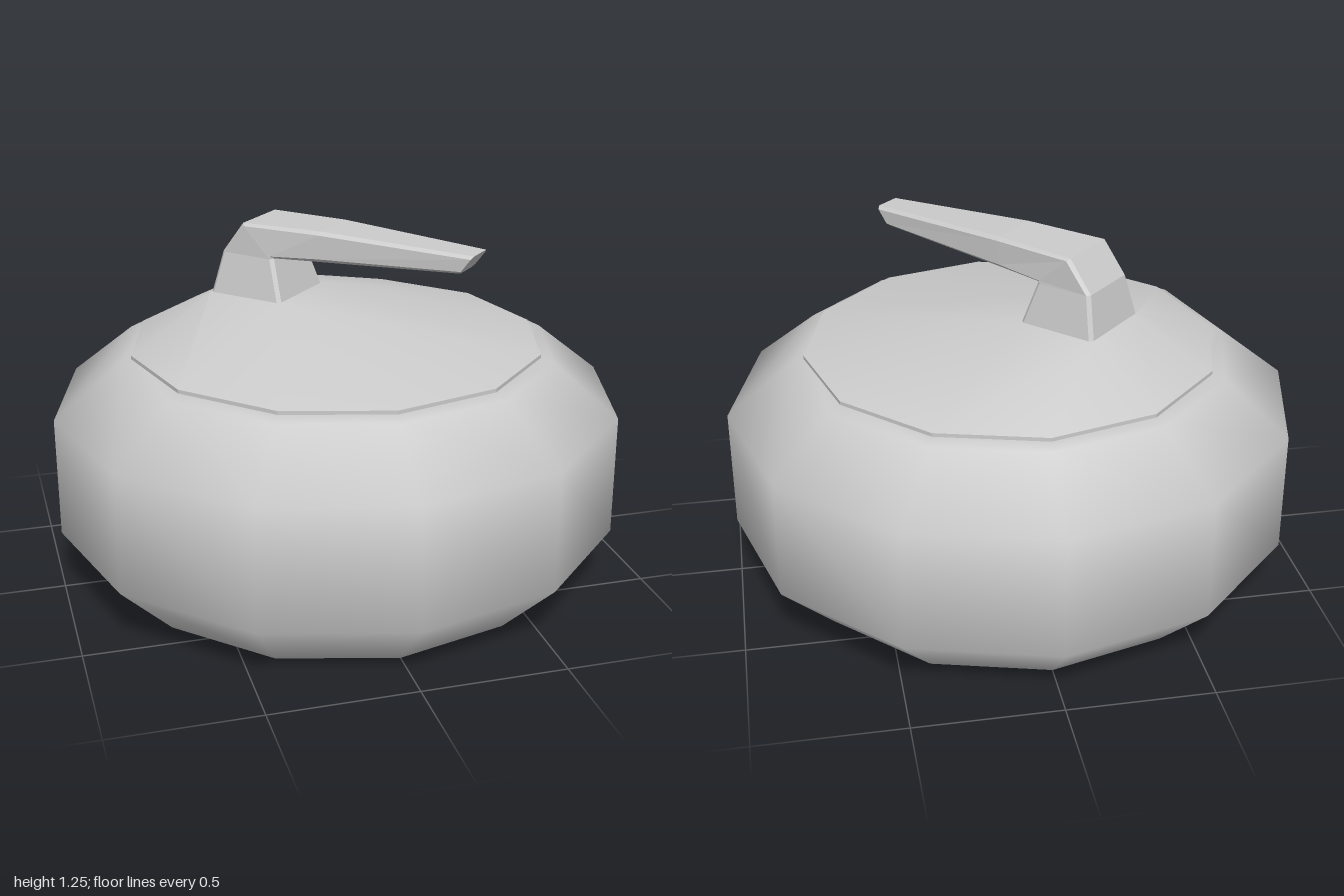
import * as THREE from 'three';
import { ConvexGeometry } from 'three/addons/geometries/ConvexGeometry.js';
import { toCreasedNormals } from 'three/addons/utils/BufferGeometryUtils.js';

const SIDES = 12;
const grey = new THREE.MeshStandardMaterial({ color: 0xcccccc });
const facetedGrey = new THREE.MeshStandardMaterial({ color: 0xcccccc, flatShading: true });

function part(name, geometry, material = grey) {
  const mesh = new THREE.Mesh(geometry, material);
  mesh.name = name;
  return mesh;
}

// The handle runs along the diagonal: u is its length, v its width.
const V_CENTRE = -0.02;
function fromDiagonal(u, y, v) {
  const w = v + V_CENTRE;
  return new THREE.Vector3((u + w) * Math.SQRT1_2, y, (u - w) * Math.SQRT1_2);
}

// Cross-sections: outer edge (u, y), inner edge (u, y), half width
const SECTIONS = [
  [-0.413, 0.99, -0.127, 0.99, 0.147],
  [-0.38, 1.14, -0.173, 1.138, 0.118],
  [-0.297, 1.25, -0.173, 1.14, 0.117],
  [0, 1.255, -0.01, 1.147, 0.101],
  [0.553, 1.235, 0.505, 1.17, 0.059],
];

// Rectangle with chamfered corners, as eight points
function sectionRing([uo, yo, ui, yi, w]) {
  const c = 0.012;
  const t = c / Math.hypot(ui - uo, yi - yo);
  const corners = [
    [0, c - w], [0, w - c], [t, w], [1 - t, w],
    [1, w - c], [1, c - w], [1 - t, -w], [t, -w],
  ];
  return corners.map(([k, v]) => fromDiagonal(uo + (ui - uo) * k, yo + (yi - yo) * k, v));
}

function handleGeometry() {
  const rings = SECTIONS.map(sectionRing);
  const n = rings[0].length;
  const index = [];
  for (let i = 0; i < rings.length - 1; i++) {
    for (let j = 0; j < n; j++) {
      const a = i * n + j, b = i * n + (j + 1) % n;
      index.push(a, a + n, b + n, a, b + n, b);
    }
  }
  // Tip and foot
  const last = (rings.length - 1) * n;
  for (let j = 1; j < n - 1; j++) {
    index.push(last, last + j + 1, last + j);
    index.push(0, j, j + 1);
  }
  const geometry = new THREE.BufferGeometry().setFromPoints(rings.flat());
  geometry.setIndex(index);
  geometry.computeVertexNormals();
  return geometry;
}

// Thin polygonal rim rising to the square foot of the handle
function capGeometry() {
  const points = [];
  for (let i = 0; i < SIDES; i++) {
    const a = (i / SIDES) * Math.PI * 2;
    for (const y of [0.832, 0.845]) {
      points.push(new THREE.Vector3(Math.sin(a) * 0.725, y, Math.cos(a) * 0.725));
    }
  }
  for (const u of [-0.413, -0.127]) {
    for (const v of [-0.147, 0.147]) points.push(fromDiagonal(u, 0.995, v));
  }
  return toCreasedNormals(new ConvexGeometry(points), 0.5);
}

export function createModel() {
  const model = new THREE.Group();
  model.name = 'slidingStone';

  // Stone body
  const profile = [[0.79, 0], [1, 0.21], [1, 0.635], [0.77, 0.82], [0.7, 0.828], [0, 0.828]];
  const body = new THREE.LatheGeometry(profile.map(([r, y]) => new THREE.Vector2(r, y)), SIDES);
  model.add(part('stoneBody', body));

  // Flat underside
  const base = new THREE.CircleGeometry(0.79, SIDES);
  base.rotateX(Math.PI / 2);
  model.add(part('stoneBase', base));

  // Cap and handle
  model.add(part('handleCap', capGeometry()));
  model.add(part('handle', handleGeometry(), facetedGrey));
  return model;
}
